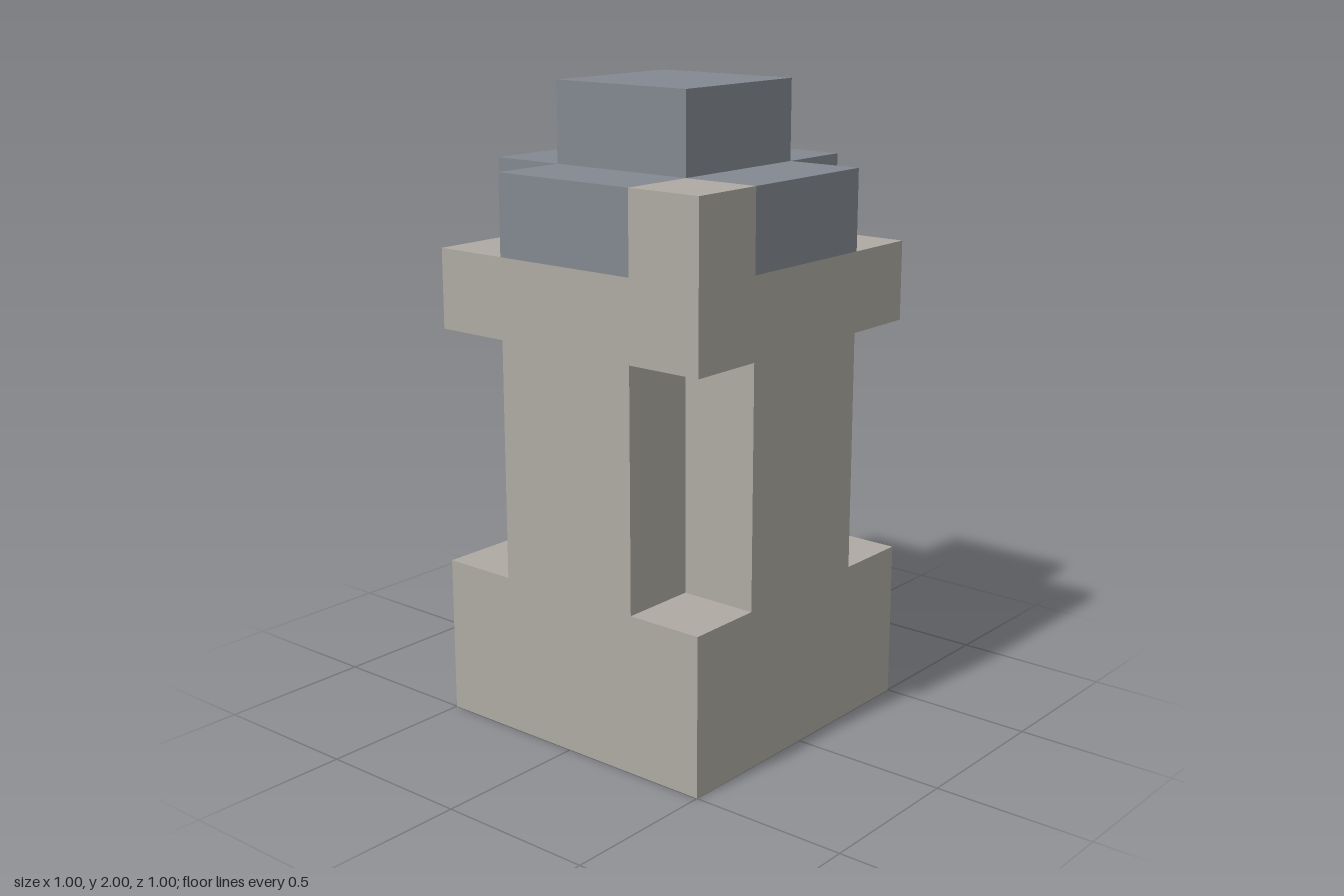
import * as THREE from 'three';
import { mergeGeometries } from 'three/addons/utils/BufferGeometryUtils.js';

const A = 0.25, B = 0.5; // half width of the core and of the full tower

// Plan outlines as [x, z], running so that walls face outward
const square = (h) => [[-h, h], [h, h], [h, -h], [-h, -h], [-h, h]];
const crown = [[-A, B], [A, B], [A, A], [B, A], [B, -A], [A, -A],
  [A, -B], [-A, -B], [-A, -A], [-B, -A], [-B, A]];
const cross = [...crown, [-A, A], [-A, B]];

// Upright walls along an outline
function walls(outline, y0, y1) {
  const pos = [];
  for (let i = 0; i < outline.length - 1; i++) {
    const [x0, z0] = outline[i], [x1, z1] = outline[i + 1];
    pos.push(x0, y0, z0, x1, y0, z1, x1, y1, z1, x0, y0, z0, x1, y1, z1, x0, y1, z0);
  }
  const g = new THREE.BufferGeometry();
  g.setAttribute('position', new THREE.Float32BufferAttribute(pos, 3));
  g.computeVertexNormals();
  return g;
}

// Level upward-facing rectangle
function deck(x, z, w, d, y) {
  const g = new THREE.PlaneGeometry(w, d).rotateX(-Math.PI / 2).translate(x, y, z).toNonIndexed();
  g.deleteAttribute('uv');
  return g;
}

export function createModel() {
  const group = new THREE.Group();
  const stone = new THREE.MeshStandardMaterial({ color: 0xaeaaa2, side: THREE.DoubleSide });
  const slate = new THREE.MeshStandardMaterial({ color: 0x838891, side: THREE.DoubleSide });
  stone.name = 'stone';
  slate.name = 'slate';

  const add = (name, material, ...parts) => {
    const mesh = new THREE.Mesh(mergeGeometries(parts), material);
    mesh.name = name;
    group.add(mesh);
  };

  const mid = (A + B) / 2;
  const corners = [[mid, mid], [mid, -mid], [-mid, -mid], [-mid, mid]];
  const ledges = (list, y) => list.map(([x, z]) => deck(x, z, A, A, y));

  // Hollow stone tower, open underneath and below the collar corners
  add('base', stone, walls(square(B), 0, 0.5), ...ledges(corners, 0.5));
  add('shaft', stone, walls(cross, 0.5, 1.25));
  add('collar', stone, walls(square(B), 1.25, 1.5), ...ledges(corners.slice(0, 3), 1.5));

  // One raised corner block, level with the roof
  add('raisedCorner', stone, walls([[-B, A], [-B, B], [-A, B]], 1.5, 1.75), deck(-mid, mid, A, A, 1.75));

  // Cross-shaped roof and its cap
  add('roof', slate, walls(crown, 1.5, 1.75),
    deck(mid, 0, A, B, 1.75), deck(-mid, 0, A, B, 1.75),
    deck(0, mid, B, A, 1.75), deck(0, -mid, B, A, 1.75));
  add('cap', slate, walls(square(A), 1.75, 2), deck(0, 0, B, B, 2));

  return group;
}
